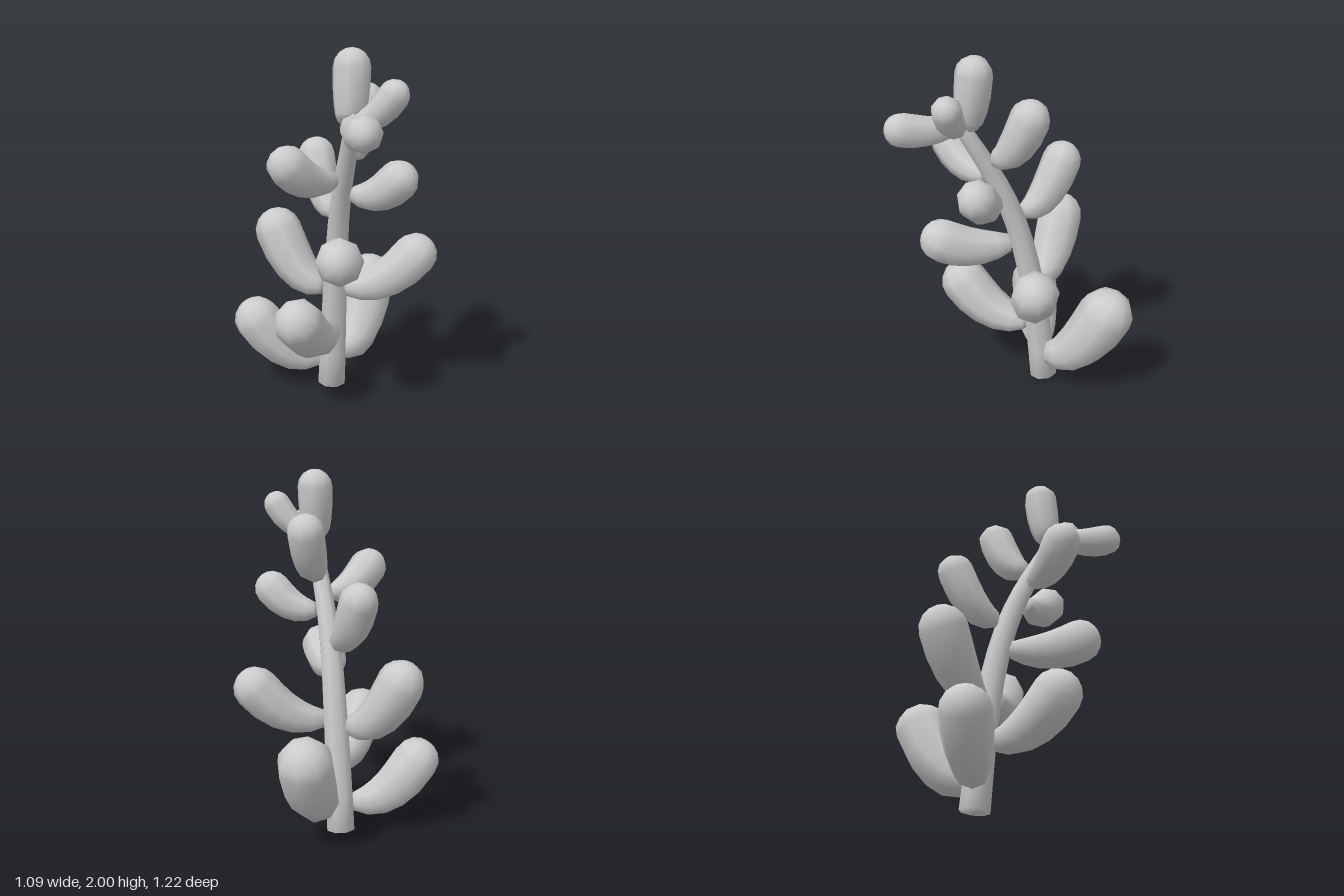
import * as THREE from 'three';

const SIDES = 8;
const V = (p) => new THREE.Vector3(...p);

// Closed tube through centres with a radius at each; first and last centres are poles
function loft(centres, radii, side) {
  const pos = [], index = [], last = centres.length - 1;
  pos.push(...centres[0].toArray());
  for (let i = 1; i < last; i++) {
    const t = centres[i + 1].clone().sub(centres[i - 1]).normalize();
    const s = side.clone().addScaledVector(t, -side.dot(t)).normalize();
    const b = t.clone().cross(s);
    for (let j = 0; j < SIDES; j++) {
      const a = (j / SIDES) * Math.PI * 2;
      const p = centres[i].clone()
        .addScaledVector(s, Math.cos(a) * radii[i])
        .addScaledVector(b, Math.sin(a) * radii[i]);
      pos.push(p.x, p.y, p.z);
    }
  }
  const end = pos.length / 3;
  pos.push(...centres[last].toArray());
  const id = (ring, j) => 1 + ring * SIDES + (j % SIDES);
  for (let j = 0; j < SIDES; j++) {
    index.push(0, id(0, j + 1), id(0, j));
    index.push(end, id(last - 2, j), id(last - 2, j + 1));
    for (let i = 0; i < last - 2; i++) {
      index.push(id(i, j), id(i, j + 1), id(i + 1, j + 1));
      index.push(id(i, j), id(i + 1, j + 1), id(i + 1, j));
    }
  }
  const g = new THREE.BufferGeometry();
  g.setAttribute('position', new THREE.Float32BufferAttribute(pos, 3));
  g.setIndex(index);
  g.computeVertexNormals();
  return g;
}

// Fleshy leaf: sags as it leaves the stem, curls upward and swells to a round tip
function leafGeometry(base, tip, r) {
  const a = V(base), c = V(tip), d = c.clone().sub(a);
  const mid = a.clone().add(new THREE.Vector3(d.x * 0.55, d.y * 0.1 - r * 0.4, d.z * 0.55));
  const curve = new THREE.QuadraticBezierCurve3(a, mid, c);
  const body = [[0, 0], [0.03, 0.42], [0.2, 0.64], [0.4, 0.81], [0.6, 0.92], [0.8, 1], [1, 1.02]];
  const cap = [[0.4, 0.93], [0.74, 0.68], [0.93, 0.36], [1, 0]];
  const centres = [], radii = [];
  for (const [t, k] of body) {
    centres.push(curve.getPoint(t));
    radii.push(k * r);
  }
  const dir = curve.getTangent(1);
  for (const [h, k] of cap) {
    centres.push(c.clone().addScaledVector(dir, h * r));
    radii.push(k * r);
  }
  const side = new THREE.Vector3(d.z, 0, -d.x).normalize();
  return loft(centres, radii, side);
}

export function createModel() {
  const model = new THREE.Group();
  const plant = new THREE.MeshStandardMaterial({ color: 0xcccccc });
  plant.name = 'plantGrey';
  const add = (name, geometry) => {
    const mesh = new THREE.Mesh(geometry, plant);
    mesh.name = name;
    model.add(mesh);
  };

  // Leaning stem, tapering toward the top
  const path = new THREE.CatmullRomCurve3([
    [-0.037, 0.01, -0.075], [-0.01, 0.4, -0.045], [0.025, 0.75, -0.005],
    [0.07, 1.05, 0.055], [0.13, 1.28, 0.125], [0.2, 1.48, 0.205], [0.26, 1.66, 0.29],
  ].map(V));
  const centres = [path.getPoint(0).setY(0)], radii = [0];
  for (let i = 0; i <= 12; i++) {
    centres.push(path.getPoint(i / 12));
    radii.push(0.083 - 0.043 * (i / 12));
  }
  centres.push(V([0.27, 1.69, 0.305]));
  radii.push(0);
  add('stem', loft(centres, radii, new THREE.Vector3(1, 0, 0)));

  // Leaves: base, centre of the swollen tip, tip radius
  const leaves = {
    lowerRightLeaf: [[-0.09, 0.17, -0.04], [-0.415, 0.4, 0.12], 0.134],
    lowerFrontLeaf: [[0.01, 0.38, 0.01], [0.005, 0.565, 0.4], 0.132],
    lowerBackLeaf: [[0.04, 0.21, -0.11], [0.02, 0.53, -0.46], 0.152],
    middleRightLeaf: [[-0.06, 0.62, -0.03], [-0.37, 0.9, -0.055], 0.13],
    middleLeftLeaf: [[0.07, 0.64, -0.01], [0.42, 0.83, -0.19], 0.123],
    middleFrontLeaf: [[0.06, 0.91, 0.08], [0.25, 0.95, 0.41], 0.123],
    upperRightLeaf: [[0.03, 1.09, 0.03], [-0.158, 1.345, -0.13], 0.105],
    upperLeftLeaf: [[0.18, 1.23, 0.13], [0.44, 1.33, 0.115], 0.104],
    upperFrontLeaf: [[0.12, 1.32, 0.2], [-0.012, 1.43, 0.465], 0.105],
    upperBackLeaf: [[0.175, 1.45, 0.14], [0.165, 1.685, -0.065], 0.104],
    topUprightLeaf: [[0.23, 1.63, 0.27], [0.218, 1.905, 0.212], 0.096],
    topLeftLeaf: [[0.25, 1.65, 0.28], [0.465, 1.79, 0.252], 0.077],
    topFrontLeaf: [[0.23, 1.64, 0.28], [0.43, 1.645, 0.52], 0.09],
  };
  for (const [name, spec] of Object.entries(leaves)) add(name, leafGeometry(...spec));
  return model;
}
